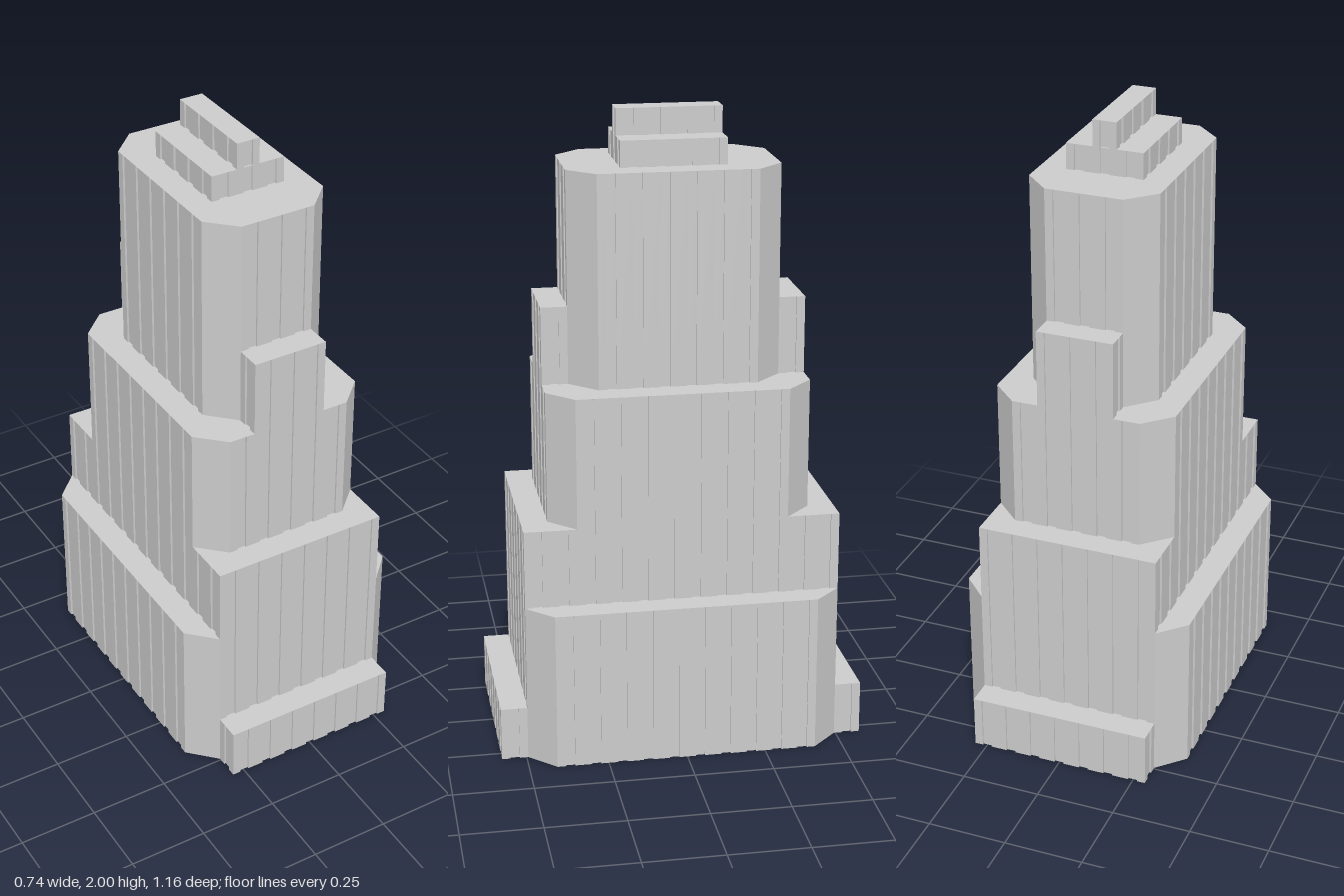
import * as THREE from 'three';

const material = new THREE.MeshStandardMaterial({ color: 0xcccccc, flatShading: true, side: THREE.DoubleSide });
const MODULE = 0.083, GROOVE = 0.03, DEPTH = 0.006;

// Upright wall from a to b ([x, z], left to right seen from outside) with one
// shallow groove per module; slanted corner walls stay plain.
function wall(name, a, b, y0, y1) {
  const dx = b[0] - a[0], dz = b[1] - a[1], len = Math.hypot(dx, dz);
  const ux = dx / len, uz = dz / len;
  const at = (t, d) => [a[0] + ux * t + uz * d, a[1] + uz * t - ux * d];
  const line = [a];
  if (Math.abs(dx * dz) < 1e-6) {
    const n = Math.max(1, Math.round(len / MODULE));
    for (let i = 0; i < n; i++) {
      const mid = (i + 0.5) * len / n, s = mid - GROOVE / 2, e = mid + GROOVE / 2;
      line.push(at(s, 0), at(s, DEPTH), at(e, DEPTH), at(e, 0));
    }
  }
  line.push(b);
  const pos = [];
  for (let i = 0; i < line.length - 1; i++) {
    const [p, q] = [line[i], line[i + 1]];
    pos.push(p[0], y0, p[1], q[0], y0, q[1], q[0], y1, q[1]);
    pos.push(p[0], y0, p[1], q[0], y1, q[1], p[0], y1, p[1]);
  }
  const geo = new THREE.BufferGeometry();
  geo.setAttribute('position', new THREE.Float32BufferAttribute(pos, 3));
  geo.computeVertexNormals();
  const mesh = new THREE.Mesh(geo, material);
  mesh.name = name;
  return mesh;
}

// Flat roof piece from [x, z] corners
function roof(name, y, pts) {
  const geo = new THREE.ShapeGeometry(new THREE.Shape(pts.map(([x, z]) => new THREE.Vector2(x, -z))));
  geo.rotateX(-Math.PI / 2).translate(0, y, 0);
  const mesh = new THREE.Mesh(geo, material);
  mesh.name = name;
  return mesh;
}

const rect = (x0, x1, z0, z1) => [[x0, z0], [x0, z1], [x1, z1], [x1, z0]];

// Front, right side and the two front corners; the other half is this one turned round
function half() {
  const g = new THREE.Group();
  const front = (name, x, z, y0, y1) => g.add(wall(name + 'Front', [-x, z], [x, z], y0, y1));
  const side = (name, x, z, y0, y1) => g.add(wall(name + 'Side', [x, z], [x, -z], y0, y1));
  const corners = (name, x, z, xi, zi, y0, y1) => g.add(
    wall(name + 'Corner', [xi, z], [x, zi], y0, y1),
    wall(name + 'Corner', [-x, zi], [-xi, z], y0, y1));
  const returns = (name, x, z0, z1, y0, y1) => g.add(
    wall(name + 'Return', [x, z1], [x, z0], y0, y1),
    wall(name + 'Return', [-x, z0], [-x, z1], y0, y1));

  // Low entrance slab
  front('entrance', 0.29, 0.578, 0, 0.17);
  returns('entrance', 0.29, 0.495, 0.578, 0, 0.17);
  g.add(roof('entranceRoof', 0.17, rect(-0.29, 0.29, 0.485, 0.578)));

  // Base tier with cut corners
  side('base', 0.372, 0.412, 0, 0.505);
  corners('base', 0.372, 0.495, 0.29, 0.412, 0, 0.505);
  g.add(roof('baseTerrace', 0.505, [[0.28, 0.495], [0.29, 0.495], [0.372, 0.412],
    [0.372, -0.412], [0.29, -0.495], [0.28, -0.495]]));

  // Square second tier, its front rising from the entrance roof
  front('second', 0.29, 0.495, 0.17, 0.755);
  side('second', 0.29, 0.495, 0.505, 0.755);
  g.add(roof('secondTerrace', 0.755, [[-0.29, 0.495], [0.29, 0.495], [0.29, 0.32],
    [0.28, 0.32], [0.2, 0.4], [-0.2, 0.4], [-0.28, 0.32], [-0.29, 0.32]]));

  // Third tier with cut corners
  front('third', 0.205, 0.412, 0.755, 1.17);
  side('third', 0.29, 0.33, 0.755, 1.17);
  corners('third', 0.29, 0.412, 0.205, 0.33, 0.755, 1.17);
  g.add(roof('thirdTerrace', 1.17, [[0.11, 0.412], [0.205, 0.412], [0.29, 0.33],
    [0.29, -0.33], [0.205, -0.412], [0.11, -0.412], [0.11, -0.32],
    [0.195, -0.24], [0.195, 0.24], [0.11, 0.32]]));

  // Narrow bay against the tower
  front('bay', 0.122, 0.412, 1.17, 1.415);
  returns('bay', 0.122, 0.33, 0.412, 1.17, 1.415);
  g.add(roof('bayRoof', 1.415, rect(-0.122, 0.122, 0.32, 0.412)));

  // Upper tower with cut corners
  front('tower', 0.122, 0.33, 1.415, 1.835);
  side('tower', 0.205, 0.247, 1.17, 1.835);
  corners('tower', 0.205, 0.33, 0.122, 0.247, 1.17, 1.835);
  g.add(roof('towerRoof', 1.835, [[0, 0.33], [0.122, 0.33], [0.205, 0.247],
    [0.205, -0.247], [0.122, -0.33], [0, -0.33]]));

  // Stepped crown
  for (const [name, x, y0, y1] of [['crown', 0.122, 1.835, 1.917], ['crest', 0.038, 1.917, 2]]) {
    front(name, x, 0.164, y0, y1);
    side(name, x, 0.164, y0, y1);
    g.add(roof(name + 'Roof', y1, rect(0, x, -0.164, 0.164)));
  }
  return g;
}

export function createModel() {
  const model = new THREE.Group();
  model.name = 'steppedTower';
  const a = half(), b = half();
  a.name = 'frontHalf';
  b.name = 'backHalf';
  b.rotation.y = Math.PI;
  model.add(a, b);
  return model;
}
